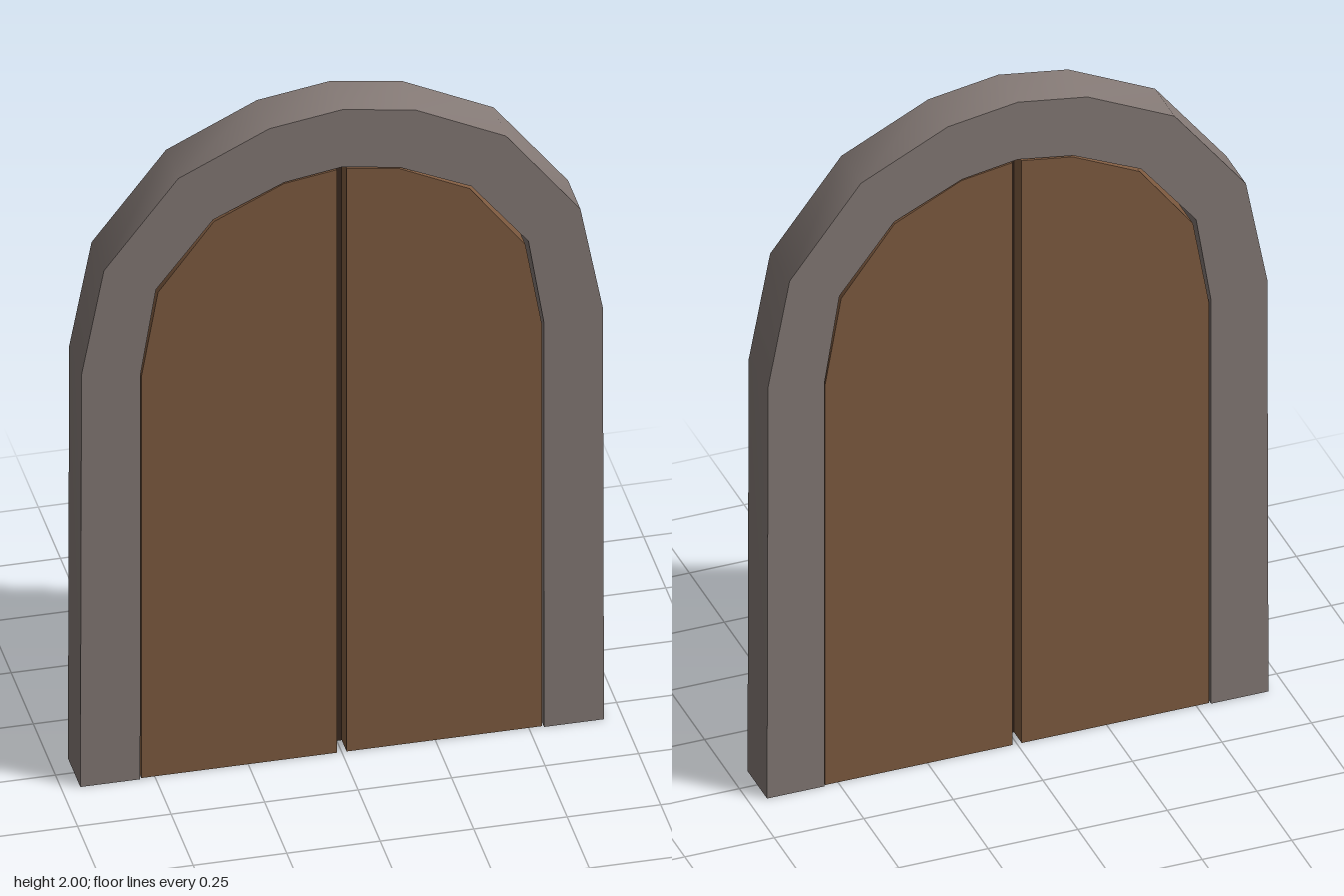
import * as THREE from 'three';

const material = (name, color) => {
  const m = new THREE.MeshStandardMaterial({ color, side: THREE.DoubleSide });
  m.name = name;
  return m;
};

// Half profiles, from the ground up to the crown
const outerHalf = [[0.7, 0], [0.697, 1.28], [0.637, 1.595], [0.438, 1.852], [0.195, 1.97], [0, 2]];
const innerHalf = [[0.54, 0], [0.539, 1.26], [0.498, 1.516], [0.345, 1.71], [0.155, 1.797], [0, 1.822]];
const leafHalf = [[0.536, 0], [0.536, 1.245], [0.491, 1.503], [0.342, 1.7], [0.155, 1.79], [0.013, 1.812]];

const mirror = (pts) => pts.map(([x, y]) => [-x, y]);
const fullArch = (half) => [...half, ...mirror(half.slice(0, -1)).reverse()];

// Smooth wall running along a path (solid on the left of the path) from -d to d
function wall(path, d) {
  const pos = [], idx = [];
  path.forEach(([x, y], i) => {
    pos.push(x, y, d, x, y, -d);
    if (i) {
      const a = 2 * i - 2;
      idx.push(a, a + 1, a + 2, a + 1, a + 3, a + 2);
    }
  });
  const g = new THREE.BufferGeometry();
  g.setAttribute('position', new THREE.Float32BufferAttribute(pos, 3));
  g.setIndex(idx);
  g.computeVertexNormals();
  return g;
}

// Slab with flat faces and smooth walls, open along the ground
function slab(name, mat, outline, walls, d) {
  const group = new THREE.Group();
  group.name = name;
  const add = (part, g) => {
    const mesh = new THREE.Mesh(g, mat);
    mesh.name = name + part;
    group.add(mesh);
    return mesh;
  };
  const face = new THREE.ShapeGeometry(new THREE.Shape(outline.map(([x, y]) => new THREE.Vector2(x, y))));
  add('Front', face).position.z = d;
  const back = face.clone().rotateY(Math.PI).scale(-1, 1, 1);
  // Restore the winding reversed by the mirror
  const index = back.index.array;
  for (let i = 0; i < index.length; i += 3) [index[i], index[i + 1]] = [index[i + 1], index[i]];
  back.computeVertexNormals();
  add('Back', back).position.z = -d;
  walls.forEach((path) => add('Edge', wall(path, d)));
  return group;
}

export function createModel() {
  const stone = material('stone', 0x857a76);
  const wood = material('wood', 0x805c41);
  const shadowWood = material('darkWood', 0x3a2a20);
  const model = new THREE.Group();
  model.name = 'archedDoor';

  // Stone arch
  const outer = fullArch(outerHalf);
  const inner = fullArch(innerHalf).reverse();
  model.add(slab('archFrame', stone, [...outer, ...inner], [outer, inner], 0.07));

  // Two door leaves with a narrow gap between them
  const seam = [[0.013, 1.812], [0.013, 0]];
  model.add(slab('leftLeaf', wood, [...leafHalf, [0.013, 0]], [leafHalf, seam], 0.065));
  const rightCurve = mirror(leafHalf).reverse();
  const rightSeam = mirror(seam).reverse();
  model.add(slab('rightLeaf', wood, [[-0.013, 0], ...rightCurve], [rightCurve, rightSeam], 0.065));

  // Recessed strip closing the gap
  const strip = new THREE.Mesh(new THREE.BoxGeometry(0.026, 1.81, 0.02), shadowWood);
  strip.name = 'centreStrip';
  strip.position.y = 0.905;
  model.add(strip);
  return model;
}
